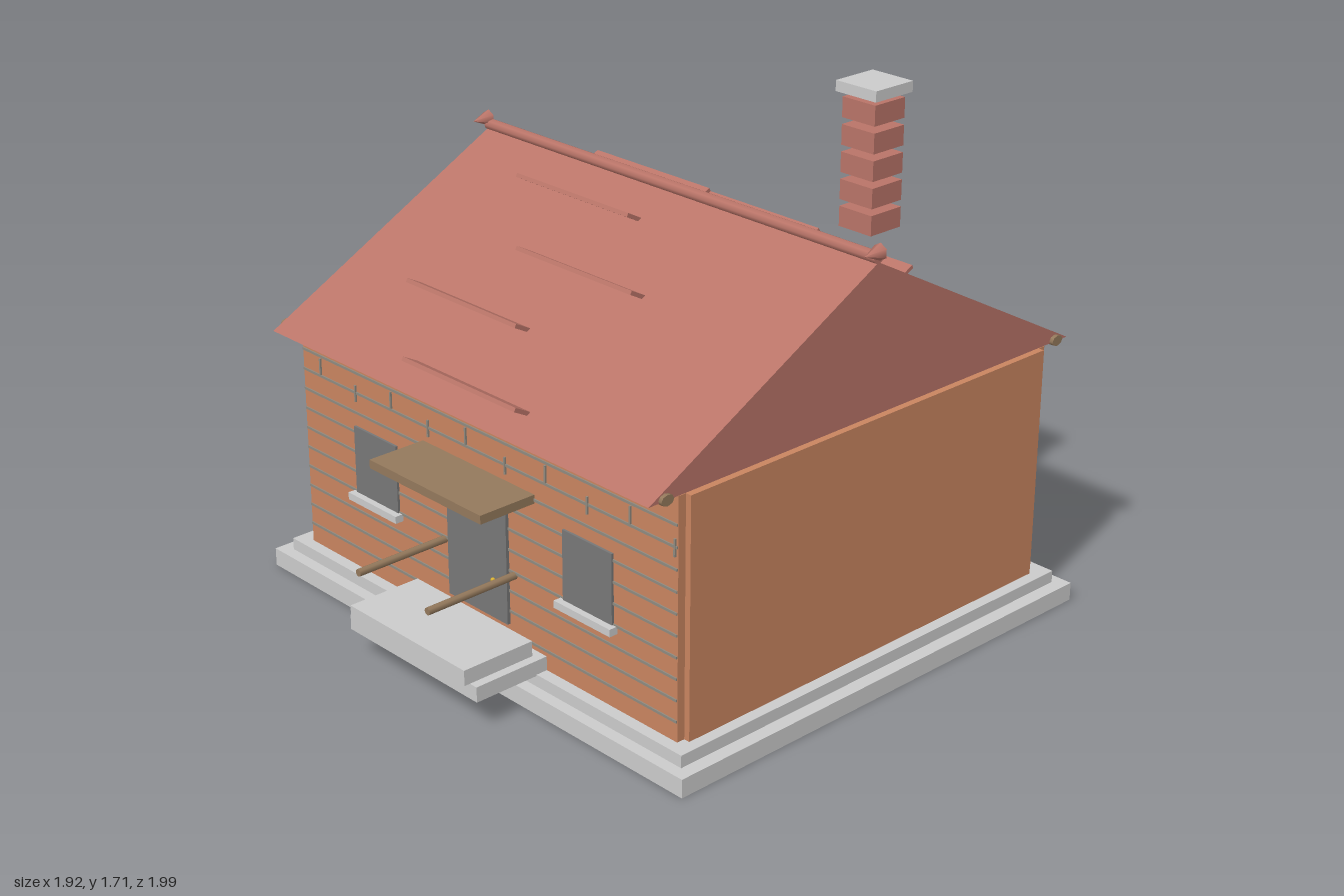
import * as THREE from 'three';

const mat = (color) => new THREE.MeshStandardMaterial({ color });

export function createModel() {
  const house = new THREE.Group();
  const stone = mat(0xcccccc), wall = mat(0xc98560), roofRed = mat(0xb97468);
  const wood = mat(0x94795c), dark = mat(0x777777), brass = mat(0xd8b030), trim = mat(0x8f8a80);
  const midZ = -0.105; // centre line of the house body

  const add = (name, geometry, material, x = 0, y = 0, z = 0) => {
    const mesh = new THREE.Mesh(geometry, material);
    mesh.name = name;
    mesh.position.set(x, y, z);
    house.add(mesh);
    return mesh;
  };
  // box from its min and max along each axis
  const box = (name, material, [x0, x1], [y0, y1], [z0, z1]) =>
    add(name, new THREE.BoxGeometry(x1 - x0, y1 - y0, z1 - z0), material,
      (x0 + x1) / 2, (y0 + y1) / 2, (z0 + z1) / 2);
  // rod lying along x or z
  const rod = (name, material, radius, length, axis, x, y, z, sides = 8) => {
    const geometry = new THREE.CylinderGeometry(radius, radius, length, sides);
    if (axis === 'x') geometry.rotateZ(Math.PI / 2);
    else geometry.rotateX(Math.PI / 2);
    return add(name, geometry, material, x, y, z);
  };

  // stepped foundation
  box('foundationLower', stone, [-0.96, 0.96], [0, 0.06], [-0.96, 0.75]);
  box('foundationUpper', stone, [-0.915, 0.915], [0.06, 0.1], [-0.92, 0.71]);

  // four walls
  box('frontWall', wall, [-0.857, 0.857], [0.1, 0.866], [0.64, 0.67]);
  box('backWall', wall, [-0.857, 0.857], [0.1, 0.866], [-0.88, -0.85]);
  for (const s of [-1, 1]) {
    const xs = [s * 0.847, s * 0.877].sort((a, b) => a - b);
    box('sideWall', wall, xs, [0.1, 0.866], [-0.853, 0.643]);
  }

  // gabled roof, a solid prism along x
  const eaveY = 0.866, ridgeY = 1.338, half = 0.885, roofLength = 1.71;
  const gable = new THREE.Shape();
  gable.moveTo(-half, eaveY);
  gable.lineTo(half, eaveY);
  gable.lineTo(0, ridgeY);
  gable.closePath();
  const roof = new THREE.ExtrudeGeometry(gable, { depth: roofLength, bevelEnabled: false });
  roof.translate(0, 0, -roofLength / 2).rotateY(Math.PI / 2);
  add('roof', roof, roofRed, 0, 0, midZ);

  // ridge pole with pointed finials, and eave beams
  rod('ridgePole', roofRed, 0.019, 1.71, 'x', 0, 1.351, midZ);
  for (const s of [-1, 1]) {
    const cone = new THREE.ConeGeometry(0.027, 0.065, 6);
    cone.rotateX(Math.PI / 2);
    add('ridgeFinial', cone, roofRed, s * 0.857, 1.37, midZ + 0.03);
    rod('eaveBeam', wood, 0.017, 1.735, 'x', 0, 0.873, midZ + s * 0.825).scale.z = 1.4;
  }

  // raised roof slats, staggered row by row on both slopes
  for (const s of [-1, 1]) {
    for (let i = 0; i < 4; i++) {
      const slat = add('roofSlat', new THREE.BoxGeometry(0.514, 0.013, 0.06), roofRed,
        i % 2 ? -0.257 : 0, 0.93 + i * 0.118, midZ + s * (0.815 - i * 0.223));
      slat.rotation.x = -s * 0.49;
    }
  }

  // chimney of spaced brick courses with a cap
  for (let i = 0; i < 5; i++) {
    add('chimneyCourse', new THREE.BoxGeometry(0.13, 0.064, 0.13), roofRed, 0.487, 1.291 + i * 0.0853, -0.472);
  }
  add('chimneyCap', new THREE.BoxGeometry(0.16, 0.034, 0.16), stone, 0.487, 1.697, -0.472);

  // thin horizontal and vertical joints on the front wall
  for (let i = 0; i < 10; i++) {
    const y = 0.166 + i * 0.068;
    box('wallCourse', trim, [-0.855, 0.855], [y - 0.004, y + 0.004], [0.664, 0.674]);
    const x = -0.765 + i * 0.179, top = i % 2 ? 0.735 : 0.77;
    box('wallJoint', trim, [x - 0.003, x + 0.003], [top - 0.055, top], [0.664, 0.676]);
  }

  // door, knob, awning and its two low rods
  box('door', dark, [-0.138, 0.137], [0.19, 0.592], [0.65, 0.681]);
  add('doorKnob', new THREE.SphereGeometry(0.008, 12, 8), brass, 0.077, 0.318, 0.684);
  box('awning', wood, [-0.257, 0.257], [0.63, 0.658], [0.655, 0.872]);
  for (const s of [-1, 1]) rod('porchRod', wood, 0.012, 0.34, 'z', s * 0.163, 0.362, 0.83);

  // windows with sills
  for (const s of [-1, 1]) {
    const x = s * 0.49;
    box('window', dark, [x - 0.105, x + 0.105], [0.364, 0.596], [0.65, 0.678]);
    box('windowSill', stone, [x - 0.12, x + 0.12], [0.346, 0.37], [0.65, 0.7]);
  }

  // entrance steps
  box('lowerStep', stone, [-0.3, 0.3], [0.096, 0.146], [0.67, 0.937]);
  box('upperStep', stone, [-0.27, 0.27], [0.146, 0.196], [0.7, 0.957]);

  return house;
}
